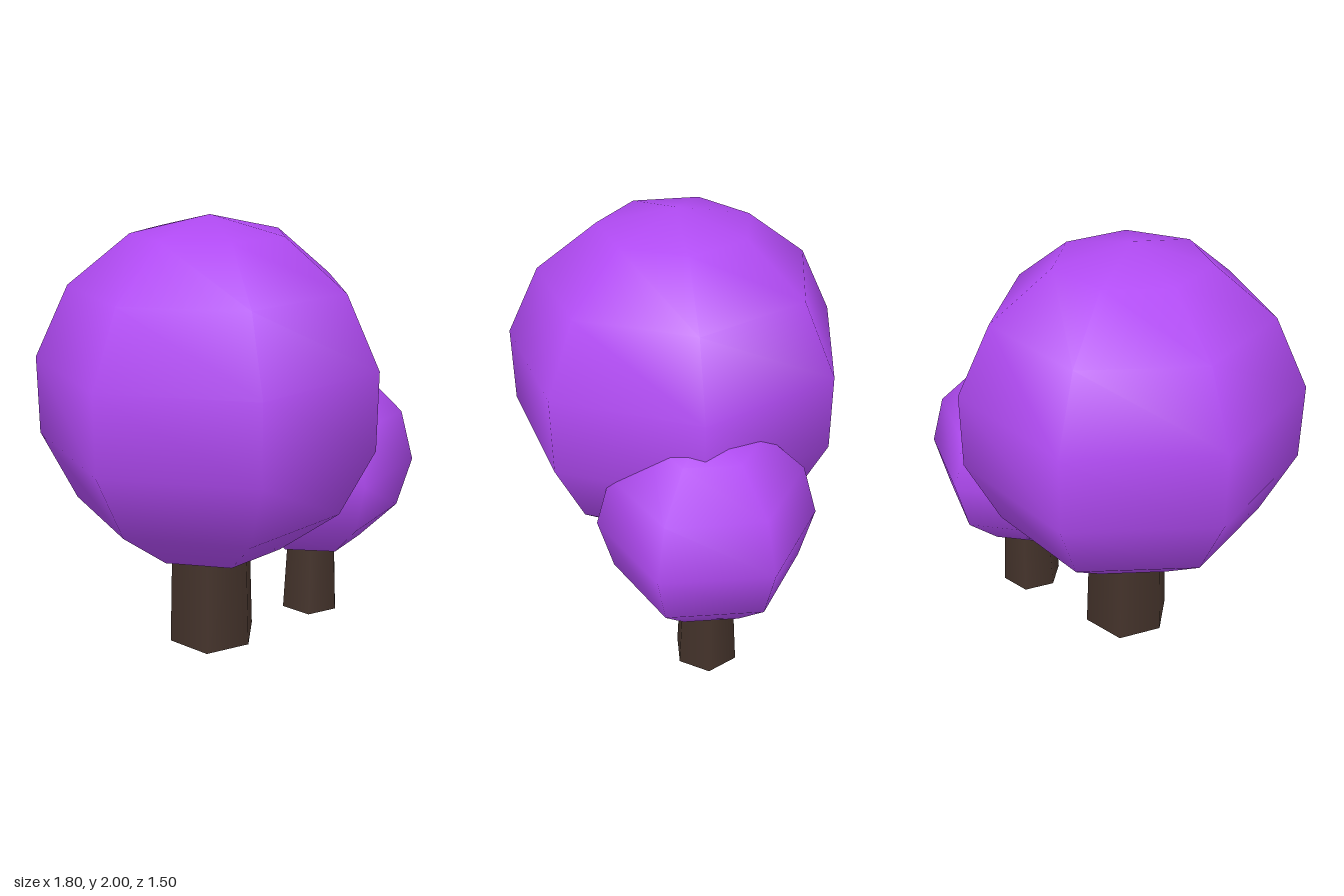
import * as THREE from 'three';

const leafMaterial = new THREE.MeshStandardMaterial({ color: 0xb04af2 });
const barkMaterial = new THREE.MeshStandardMaterial({ color: 0x43322a });

// One tree: a round low-poly crown on a tapered six-sided trunk
function createTree({ name, x, z, crownY, crownRadius, segments, trunkHeight, trunkTop, trunkBottom }) {
  const tree = new THREE.Group();
  tree.name = name;
  tree.position.set(x, 0, z);

  const crown = new THREE.Mesh(new THREE.SphereGeometry(crownRadius, segments, segments), leafMaterial);
  crown.name = 'crown';
  crown.position.y = crownY;

  // The trunk's top end sits inside the crown
  const trunk = new THREE.Mesh(new THREE.CylinderGeometry(trunkTop, trunkBottom, trunkHeight, 6), barkMaterial);
  trunk.name = 'trunk';
  trunk.position.y = trunkHeight / 2;

  tree.add(crown, trunk);
  return tree;
}

export function createModel() {
  const model = new THREE.Group();
  model.name = 'trees';
  model.add(
    createTree({
      name: 'largeTree', x: -0.13, z: 0, crownY: 1.21, crownRadius: 0.79, segments: 7,
      trunkHeight: 0.65, trunkTop: 0.194, trunkBottom: 0.215,
    }),
    createTree({
      name: 'smallTree', x: 0.418, z: 0.219, crownY: 0.795, crownRadius: 0.481, segments: 6,
      trunkHeight: 0.5, trunkTop: 0.125, trunkBottom: 0.152,
    }),
  );
  return model;
}
